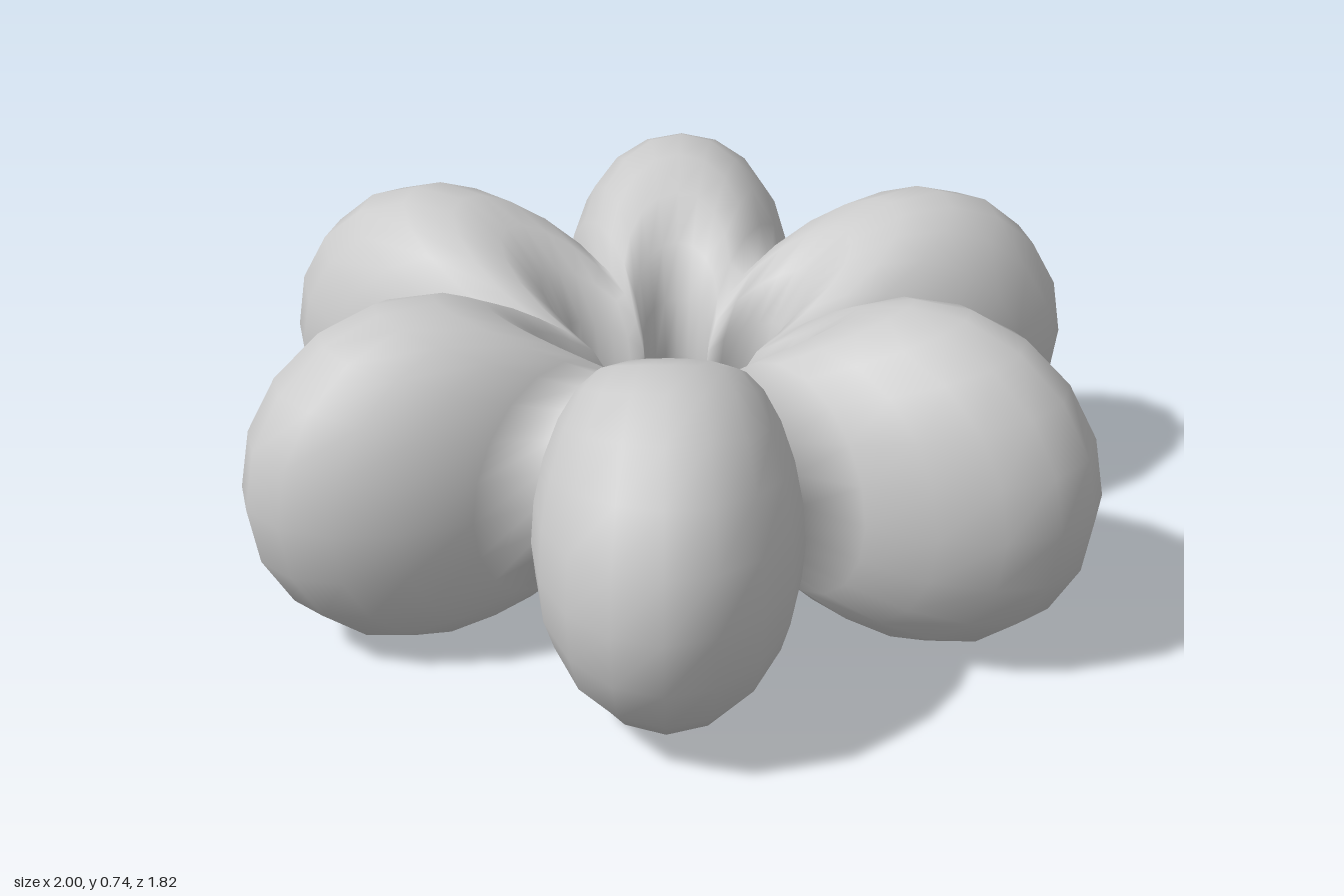
import * as THREE from 'three';
import { mergeVertices } from 'three/addons/utils/BufferGeometryUtils.js';

const PETALS = 6;
const RING = 0.626, TUBE = 0.376;      // ring and tube radius at a petal's middle
const VALLEY = 0.53;                   // scale of the ring between two petals
const TURN = THREE.MathUtils.degToRad(2.1);

export function createModel() {
  const group = new THREE.Group();
  group.name = 'petalRing';

  // Torus lying flat, welded at its seams so that the normals run smoothly round
  let geometry = new THREE.TorusGeometry(RING, TUBE, 18, 60);
  geometry.rotateX(Math.PI / 2);
  geometry.deleteAttribute('uv');
  geometry.deleteAttribute('normal');
  geometry = mergeVertices(geometry, 1e-4);

  // Each cross-section shrinks towards the centre between the petals
  const pos = geometry.attributes.position;
  const p = new THREE.Vector3();
  for (let i = 0; i < pos.count; i++) {
    p.fromBufferAttribute(pos, i);
    const angle = Math.atan2(p.z, p.x);
    p.multiplyScalar(VALLEY + (1 - VALLEY) * Math.abs(Math.cos(angle * PETALS / 2)));
    pos.setXYZ(i, p.x, p.y, p.z);
  }

  // Turn slightly and stand on the ground
  geometry.rotateY(-TURN);
  geometry.computeBoundingBox();
  geometry.translate(0, -geometry.boundingBox.min.y, 0);
  geometry.computeVertexNormals();

  const petals = new THREE.Mesh(geometry, new THREE.MeshStandardMaterial({ color: 0xcccccc }));
  petals.name = 'petals';
  group.add(petals);
  return group;
}
